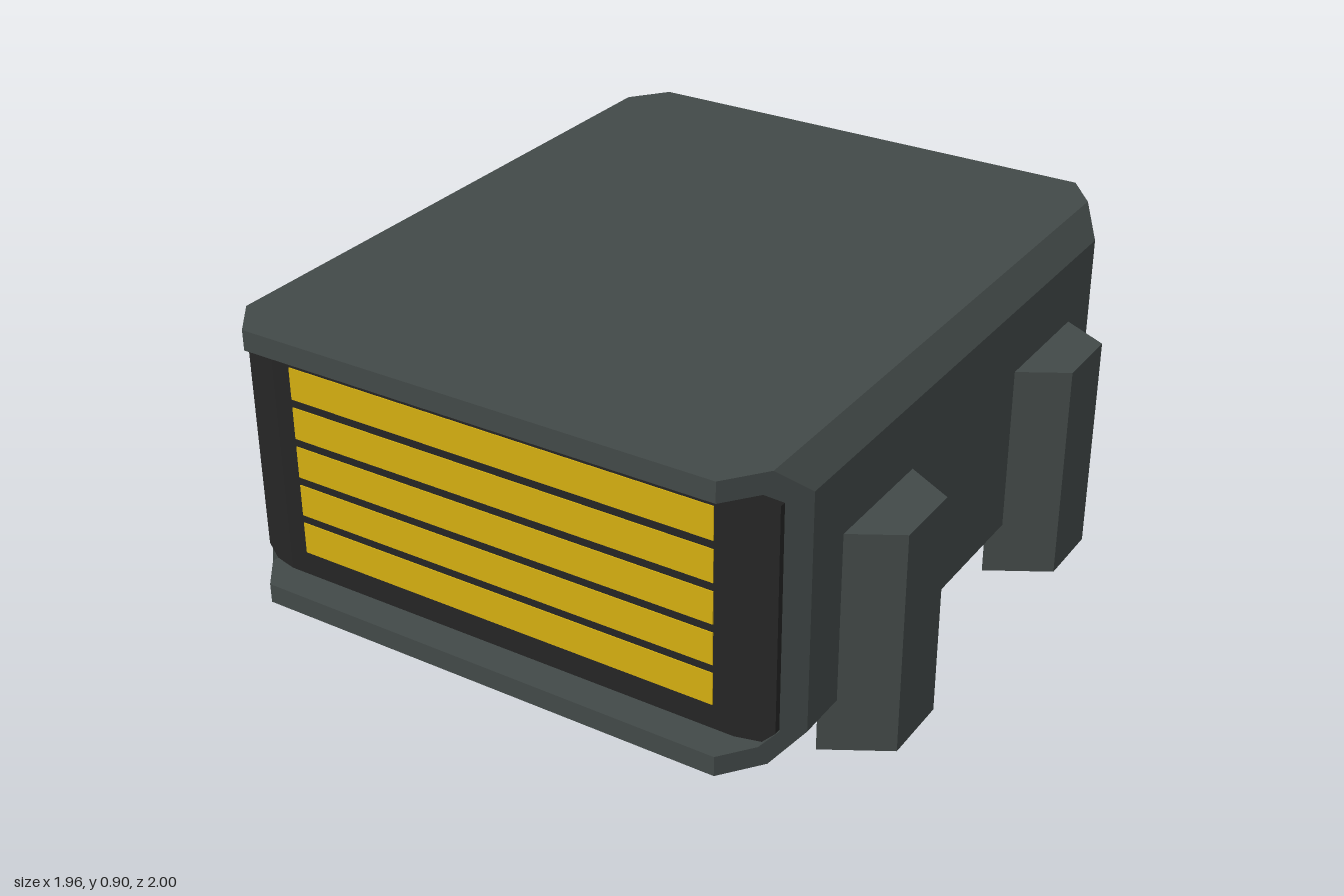
import * as THREE from 'three';

const shellMat = new THREE.MeshStandardMaterial({ color: 0x424948 });
shellMat.name = 'dark grey casing';
const plugMat = new THREE.MeshStandardMaterial({ color: 0x252525 });
plugMat.name = 'black panel';
const slatMat = new THREE.MeshStandardMaterial({ color: 0xd4ae10 });
slatMat.name = 'yellow slats';

// Clockwise 12-point section seen from +z: chamfered rectangle with breaks at x = ±0.70.
// zAt gives the end position for each |x|, which slants the vertical corners.
function ring(w, wc, top, topC, bottom, bottomC, zAt, side) {
  const right = [[0.7, top], [wc, top], [w, topC], [w, bottomC], [wc, bottom], [0.7, bottom]];
  const left = right.map(([x, y]) => [-x, y]).reverse();
  return [...right, ...left].map(([x, y]) => [x, y, side * zAt(Math.abs(x))]);
}

// Flat-faced geometry from four-cornered faces
function fromQuads(quads) {
  const pos = [];
  for (const [a, b, c, d] of quads) pos.push(...a, ...b, ...c, ...a, ...c, ...d);
  const g = new THREE.BufferGeometry();
  g.setAttribute('position', new THREE.Float32BufferAttribute(pos, 3));
  g.computeVertexNormals();
  return g;
}

const strip = (A, B) => A.map((p, i) => {
  const j = (i + 1) % A.length;
  return [p, A[j], B[j], B[i]];
});

// End cap made of vertical columns across the section
function cap(R, flip) {
  const quads = [];
  for (let k = 0; k < 5; k++) {
    const q = [R[(9 + k) % 12], R[8 - k], R[7 - k], R[(10 + k) % 12]];
    quads.push(flip ? q.reverse() : q);
  }
  return quads;
}

export function createModel() {
  const model = new THREE.Group();
  model.name = 'ventedBox';
  const add = (name, geometry, material) => {
    const m = new THREE.Mesh(geometry, material);
    m.name = name;
    model.add(m);
    return m;
  };

  // Casing: open-ended sleeve with slanted corners
  const shellZ = (x) => 1 - (x - 0.7) * (0.19 / 0.148);
  const outer = (s) => ring(0.848, 0.785, 0.905, 0.83, 0.083, 0.153, shellZ, s);
  const inner = (s) => ring(0.803, 0.77, 0.847, 0.815, 0.14, 0.172, shellZ, s);
  const loop = [inner(1), outer(1), outer(-1), inner(-1)];
  add('casing', fromQuads(loop.flatMap((r, i) => strip(r, loop[(i + 1) % 4]))), shellMat);

  // Dark core, recessed behind the lips at both ends
  const coreZ = (x) => 0.908 - (x - 0.7) * 0.25;
  const core = (s) => ring(0.801, 0.768, 0.845, 0.813, 0.142, 0.174, coreZ, s);
  const cf = core(1), cb = core(-1);
  add('ventCore', fromQuads([...strip(cf, cb), ...cap(cf, false), ...cap(cb, true)]), plugMat);

  // Five slats on each end
  const slat = new THREE.BoxGeometry(1.28, 0.093, 0.006);
  for (const [end, s] of [['front', 1], ['back', -1]]) {
    for (let i = 0; i < 5; i++) {
      add(`${end}Slat${i + 1}`, slat, slatMat).position.set(0, 0.26 + i * 0.117, s * 0.908);
    }
  }

  // Four tapered legs on the sides
  const plan = new THREE.Shape([[0.807, -0.203], [0.982, -0.102], [0.982, 0.102], [0.807, 0.203]]
    .map(([x, y]) => new THREE.Vector2(x, y)));
  const leg = new THREE.ExtrudeGeometry(plan, { depth: 0.637, bevelEnabled: false });
  leg.rotateX(-Math.PI / 2);
  for (const [side, turn] of [['left', 0], ['right', Math.PI]]) {
    for (const [end, z] of [['Front', 0.482], ['Back', -0.482]]) {
      const m = add(`${side}${end}Leg`, leg, shellMat);
      m.rotation.y = turn;
      m.position.z = z;
    }
  }
  return model;
}
